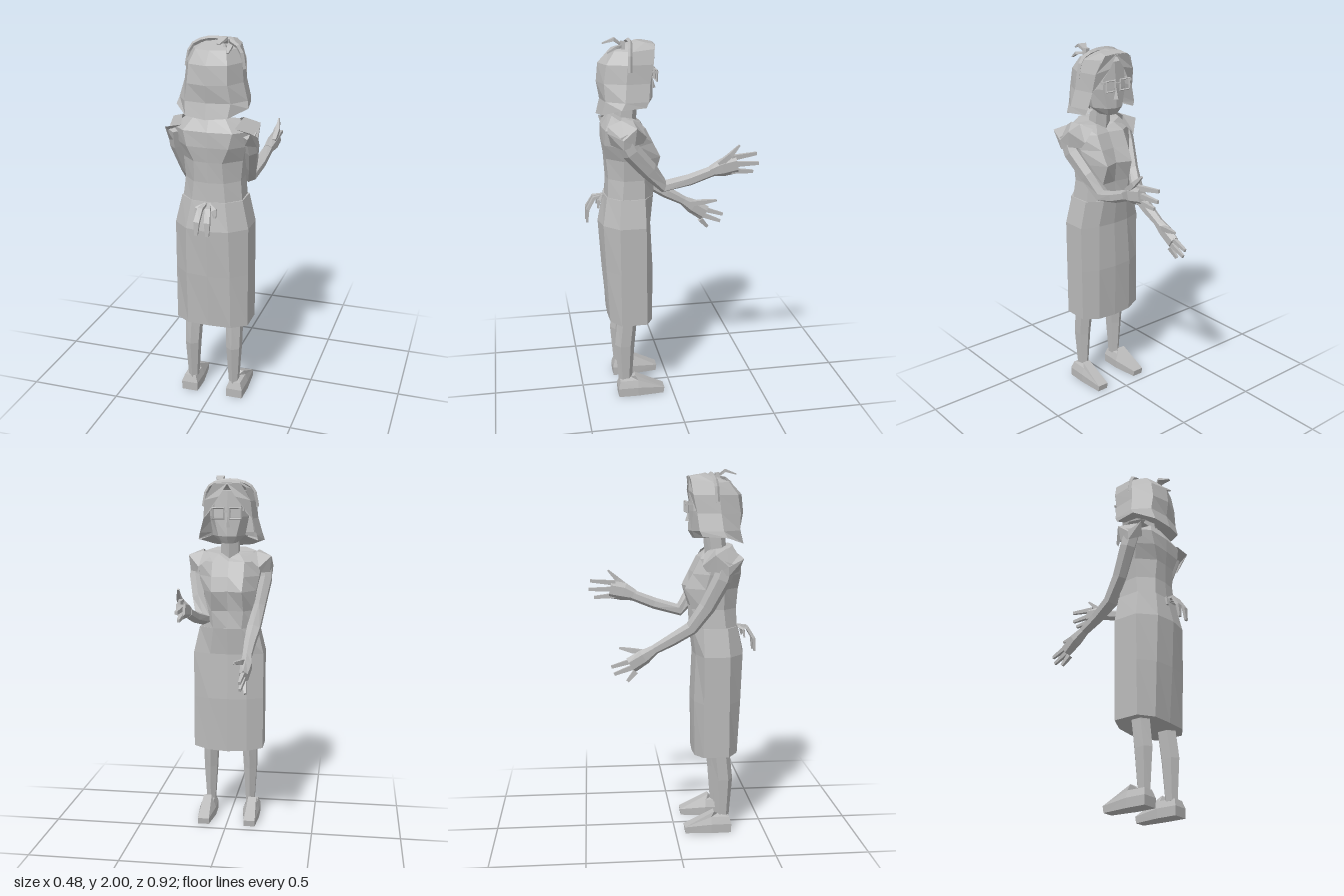
import * as THREE from 'three';

const grey = new THREE.MeshStandardMaterial({ color: 0xbababa, side: THREE.DoubleSide, flatShading: true });
grey.name = 'plain grey';

// Joins rings of [x, y, z] points into a faceted skin
function loft(name, rings, { closed = true, capStart = true, capEnd = true } = {}) {
  const n = rings[0].length, pos = rings.flat(2), idx = [];
  const span = closed ? n : n - 1;
  for (let r = 0; r < rings.length - 1; r++) {
    for (let i = 0; i < span; i++) {
      const a = r * n + i, b = r * n + (i + 1) % n;
      idx.push(a, b, a + n, b, b + n, a + n);
    }
  }
  const cap = (r, flip) => {
    const c = pos.length / 3;
    for (let k = 0; k < 3; k++) pos.push(rings[r].reduce((s, p) => s + p[k], 0) / n);
    for (let i = 0; i < n; i++) {
      const a = r * n + i, b = r * n + (i + 1) % n;
      idx.push(c, flip ? b : a, flip ? a : b);
    }
  };
  if (capStart) cap(0, true);
  if (capEnd) cap(rings.length - 1, false);
  const indexed = new THREE.BufferGeometry();
  indexed.setAttribute('position', new THREE.Float32BufferAttribute(pos, 3));
  indexed.setIndex(idx);
  const g = indexed.toNonIndexed();
  g.computeVertexNormals();
  const mesh = new THREE.Mesh(g, grey);
  mesh.name = name;
  return mesh;
}

// Symmetric ring from half points [x, z, dy], listed back centre to front centre
function ring(y, half) {
  const a = half.map(([x, z, dy = 0]) => [x, y + dy, z]);
  const b = a.filter(p => p[0] > 0).map(([x, h, z]) => [-x, h, z]).reverse();
  // reversed so that rings stacked upward face outward
  return [...a, ...b];
}

// Symmetric open ring, running round the back from one front edge to the other
function openRing(y, half) {
  const a = half.map(([x, z, dy = 0]) => [x, y + dy, z]);
  return [...a.slice().reverse(), ...a.slice(1).map(([x, h, z]) => [-x, h, z])].reverse();
}

// Limb through path points [x, y, z, half width, half thickness]
function limb(name, path, sides = 6) {
  const P = path.map(p => new THREE.Vector3(p[0], p[1], p[2]));
  const rings = P.map((p, i) => {
    const t = P[Math.min(i + 1, P.length - 1)].clone().sub(P[Math.max(i - 1, 0)]).normalize();
    const u = new THREE.Vector3(1, 0, 0).addScaledVector(t, -t.x).normalize();
    const v = t.clone().cross(u);
    return Array.from({ length: sides }, (_, k) => {
      const a = (k + 0.5) / sides * Math.PI * 2;
      return p.clone().addScaledVector(u, Math.cos(a) * path[i][3])
        .addScaledVector(v, Math.sin(a) * path[i][4]).toArray();
    });
  });
  return loft(name, rings);
}

export function createModel() {
  const model = new THREE.Group();
  model.name = 'woman';
  const add = (...m) => model.add(...m);

  // Skirt
  add(loft('skirt', [
    ring(0.45, [[0, 0.35], [0.12, 0.345], [0.2, 0.29], [0.2, 0.15], [0.11, 0.11, -0.01], [0, 0.105, -0.015]]),
    ring(0.75, [[0, 0.375], [0.12, 0.36], [0.2, 0.29], [0.2, 0.15], [0.11, 0.105], [0, 0.095]]),
    ring(1.01, [[0, 0.39], [0.115, 0.37], [0.2, 0.29], [0.2, 0.15], [0.1, 0.115], [0, 0.105]]),
    ring(1.16, [[0, 0.355], [0.09, 0.345], [0.165, 0.28], [0.165, 0.15], [0.08, 0.095], [0, 0.085]]),
  ]));

  // Bodice with bust and sloping shoulders
  add(loft('bodice', [
    ring(1.16, [[0, 0.35], [0.09, 0.34], [0.16, 0.27], [0.155, 0.15], [0.08, 0.095], [0, 0.09]]),
    ring(1.26, [[0, 0.345], [0.08, 0.335], [0.15, 0.26], [0.145, 0.15], [0.09, 0.09], [0, 0.1]]),
    ring(1.37, [[0, 0.35], [0.075, 0.345], [0.16, 0.26], [0.155, 0.16], [0.085, 0.055], [0, 0.085]]),
    ring(1.45, [[0, 0.36], [0.11, 0.355], [0.18, 0.28], [0.17, 0.18], [0.09, 0.095], [0, 0.11]]),
    ring(1.53, [[0, 0.36], [0.13, 0.35], [0.2, 0.28], [0.18, 0.2], [0.09, 0.135], [0, 0.15]]),
    ring(1.59, [[0, 0.32, 0.01], [0.08, 0.31, 0.01], [0.15, 0.27, -0.01], [0.13, 0.22, -0.01], [0.06, 0.18, -0.02], [0, 0.18, -0.04]]),
  ]));

  // Neck and head
  add(limb('neck', [[0, 1.53, 0.235, 0.06, 0.06], [0, 1.72, 0.215, 0.052, 0.06]]));
  add(loft('head', [
    ring(1.635, [[0, 0.24], [0.03, 0.22], [0.045, 0.17], [0.03, 0.115], [0, 0.105]]),
    ring(1.675, [[0, 0.27], [0.07, 0.24], [0.09, 0.17], [0.05, 0.095], [0, 0.08]]),
    ring(1.78, [[0, 0.3], [0.09, 0.27], [0.11, 0.18], [0.075, 0.1], [0, 0.085]]),
    ring(1.92, [[0, 0.3], [0.08, 0.25], [0.1, 0.18], [0.07, 0.11], [0, 0.095]]),
  ]));
  const nose = new THREE.Mesh(new THREE.ConeGeometry(0.018, 0.06, 4), grey);
  nose.name = 'nose';
  nose.position.set(0, 1.755, 0.083);
  add(nose);

  // Flared bob, open round the face
  add(loft('hair', [
    openRing(1.67, [[0, 0.27], [0.06, 0.26], [0.1, 0.23], [0.105, 0.15]]),
    openRing(1.6, [[0, 0.385], [0.11, 0.365, 0.01], [0.19, 0.27, 0.045], [0.165, 0.14, 0.05]]),
    openRing(1.68, [[0, 0.365], [0.12, 0.345], [0.18, 0.25], [0.16, 0.125]]),
    openRing(1.77, [[0, 0.38], [0.105, 0.35], [0.155, 0.24], [0.135, 0.115]]),
    openRing(1.865, [[0, 0.37], [0.1, 0.335], [0.145, 0.23], [0.125, 0.095]]),
    openRing(1.93, [[0, 0.31], [0.08, 0.29], [0.12, 0.2], [0.1, 0.085, 0.01]]),
    openRing(1.975, [[0, 0.17, 0.005], [0.035, 0.16], [0.065, 0.13, -0.005], [0.07, 0.08, -0.015]]),
  ], { closed: false, capStart: false }));

  // Headband over the crown, with a small bow on one side
  const band = new THREE.CatmullRomCurve3([[-0.15, 1.83, 0.22], [-0.125, 1.93, 0.215], [-0.06, 1.967, 0.205],
    [0.06, 1.967, 0.205], [0.125, 1.93, 0.215], [0.15, 1.83, 0.22]].map(p => new THREE.Vector3(...p)));
  const headband = new THREE.Mesh(new THREE.TubeGeometry(band, 12, 0.012, 4), grey);
  headband.name = 'headband';
  add(headband,
    limb('bowKnot', [[0.07, 1.94, 0.25, 0.02, 0.02], [0.07, 1.98, 0.245, 0.015, 0.015]], 4),
    limb('bowTail', [[0.07, 1.96, 0.25, 0.01, 0.01], [0.065, 1.99, 0.29, 0.035, 0.012], [0.06, 1.97, 0.35, 0.012, 0.004]], 4),
    limb('bowTail', [[0.07, 1.955, 0.25, 0.01, 0.01], [0.1, 1.95, 0.29, 0.02, 0.01], [0.1, 1.925, 0.33, 0.008, 0.004]], 4));

  for (const s of [1, -1]) {
    const m = pts => pts.map(([x, ...rest]) => [s * x, ...rest]);

    // Swept fringe
    add(loft('fringe', [
      m([[0.075, 1.96, 0.08], [0.127, 1.87, 0.095], [0.136, 1.77, 0.115]]),
      m([[-0.005, 1.965, 0.082], [0.045, 1.89, 0.078], [0.105, 1.8, 0.1]]),
    ], { closed: false, capStart: false, capEnd: false }));

    // Glasses: square frame and side arm
    const frame = new THREE.Mesh(new THREE.TorusGeometry(0.04, 0.006, 4, 4), grey);
    frame.name = 'glassesFrame';
    frame.geometry.rotateZ(Math.PI / 4);
    frame.scale.set(1.1, 1, 1);
    frame.position.set(s * 0.047, 1.8, 0.07);
    const arm = new THREE.Mesh(new THREE.BoxGeometry(0.008, 0.012, 0.08), grey);
    arm.name = 'glassesArm';
    arm.position.set(s * 0.09, 1.82, 0.105);
    add(frame, arm);

    // Pointed sleeve frill
    add(loft('sleeveFrill', [
      m([[0.1, 1.56, 0.16], [0.15, 1.585, 0.21], [0.16, 1.59, 0.27], [0.14, 1.555, 0.34]]),
      m([[0.17, 1.5, 0.14], [0.235, 1.56, 0.2], [0.24, 1.5, 0.27], [0.225, 1.54, 0.35]]),
      m([[0.18, 1.47, 0.16], [0.225, 1.47, 0.21], [0.235, 1.45, 0.27], [0.19, 1.47, 0.33]]),
    ], { closed: false, capStart: false, capEnd: false }));

    // Leg and shoe
    add(limb('leg', [[s * 0.115, 0.52, 0.25, 0.05, 0.055], [s * 0.115, 0.44, 0.252, 0.048, 0.055],
      [s * 0.118, 0.3, 0.267, 0.043, 0.055], [s * 0.118, 0.08, 0.267, 0.028, 0.037]]));
    const sole = (y, w, heel, toe, toeY) => m([[0.13 - w, y, heel], [0.13 + w, y, heel],
      [0.13 + w * 1.05, y, 0.2], [0.135 + w * 0.7, toeY, toe], [0.13 - w * 0.6, toeY, toe], [0.13 - w * 1.05, y, 0.2]]);
    add(loft('shoe', [
      sole(0, 0.045, 0.31, 0.055, 0),
      sole(0.05, 0.046, 0.312, 0.05, 0.035),
      sole(0.09, 0.032, 0.3, 0.215, 0.12),
    ]));

    // Loop and hanging tail of the apron tie
    add(limb('apronTail', [[s * 0.01, 1.15, 0.35, 0.01, 0.01], [s * 0.02, 1.14, 0.41, 0.02, 0.012],
      [s * 0.028, 1.08, 0.445, 0.022, 0.012], [s * 0.03, 1.01, 0.45, 0.012, 0.008]], 4));
    add(limb('apronLoop', [[s * 0.01, 1.15, 0.36, 0.01, 0.01], [s * 0.045, 1.13, 0.385, 0.02, 0.01],
      [s * 0.05, 1.09, 0.39, 0.01, 0.006]], 4));
  }
  const bridge = new THREE.Mesh(new THREE.BoxGeometry(0.04, 0.01, 0.008), grey);
  bridge.name = 'glassesBridge';
  bridge.position.set(0, 1.81, 0.07);
  add(bridge);

  // Raised left arm and open hand
  add(limb('leftArm', [[0.195, 1.52, 0.27, 0.04, 0.05], [0.195, 1.43, 0.225, 0.04, 0.052],
    [0.165, 1.32, 0.13, 0.038, 0.048], [0.13, 1.22, 0.045, 0.044, 0.035],
    [0.155, 1.255, -0.09, 0.034, 0.032], [0.168, 1.3, -0.21, 0.027, 0.03]]));
  add(limb('leftPalm', [[0.168, 1.3, -0.2, 0.026, 0.03], [0.178, 1.32, -0.26, 0.033, 0.05], [0.18, 1.335, -0.34, 0.028, 0.05]]));
  const leftFingers = [[0.165, 1.385, -0.45, 1.37], [0.18, 1.335, -0.46, 1.335], [0.175, 1.29, -0.43, 1.3]];
  for (const [x, y, z, root] of leftFingers)
    add(limb('leftFinger', [[0.18, root, -0.31, 0.017, 0.02], [x, y, z, 0.01, 0.012]], 4));
  add(limb('leftThumb', [[0.19, 1.34, -0.24, 0.018, 0.02], [0.197, 1.39, -0.3, 0.016, 0.018], [0.19, 1.44, -0.35, 0.006, 0.007]], 4));

  // Lowered right arm and open hand
  add(limb('rightArm', [[-0.195, 1.52, 0.27, 0.04, 0.05], [-0.2, 1.43, 0.24, 0.04, 0.05],
    [-0.175, 1.28, 0.165, 0.036, 0.045], [-0.15, 1.165, 0.085, 0.042, 0.038],
    [-0.14, 1.1, -0.02, 0.034, 0.034], [-0.137, 1.045, -0.12, 0.027, 0.026]]));
  add(limb('rightPalm', [[-0.137, 1.05, -0.11, 0.027, 0.026], [-0.14, 1.01, -0.17, 0.034, 0.042], [-0.135, 0.965, -0.24, 0.026, 0.045]]));
  const rightFingers = [[-0.125, 0.955, -0.345, 0.995], [-0.125, 0.915, -0.33, 0.96], [-0.145, 0.878, -0.26, 0.93]];
  for (const [x, y, z, root] of rightFingers)
    add(limb('rightFinger', [[-0.135, root, -0.215, 0.017, 0.02], [x, y, z, 0.009, 0.012]], 4));
  add(limb('rightThumb', [[-0.125, 1.03, -0.16, 0.018, 0.02], [-0.11, 1.04, -0.23, 0.017, 0.018], [-0.09, 1.052, -0.3, 0.007, 0.008]], 4));

  return model;
}
